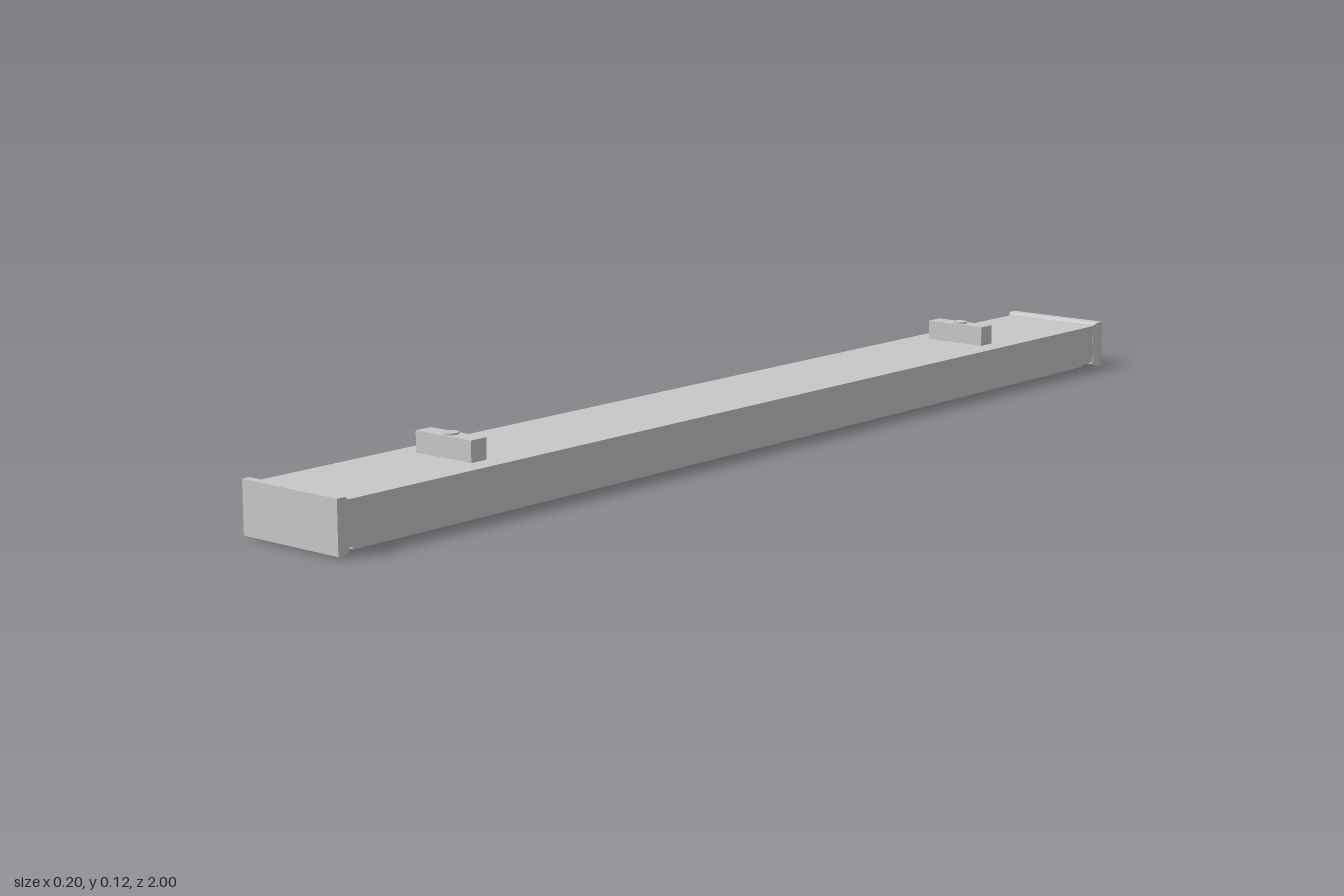
import * as THREE from 'three';

export function createModel() {
  const model = new THREE.Group();
  const grey = new THREE.MeshStandardMaterial({ color: 0xc8c8c8 });
  grey.name = 'light grey';

  const add = (name, geometry, x, y, z) => {
    const mesh = new THREE.Mesh(geometry, grey);
    mesh.name = name;
    mesh.position.set(x, y, z);
    model.add(mesh);
    return mesh;
  };
  // Box given by its width, bottom, top, depth and centre z
  const slab = (name, w, y0, y1, d, z = 0) =>
    add(name, new THREE.BoxGeometry(w, y1 - y0, d), 0, (y0 + y1) / 2, z);

  // Long housing with a stepped diffuser underneath
  slab('housing', 0.196, 0.012, 0.083, 1.97);
  slab('diffuserFrame', 0.172, 0.004, 0.012, 1.915);
  slab('diffuser', 0.152, 0, 0.004, 1.89);

  for (const side of [1, -1]) {
    const end = side > 0 ? 'front' : 'back';

    // End cap: flat plate plus a collar tapering onto the housing
    slab(end + 'EndCap', 0.205, 0.003, 0.089, 0.015, side * 0.9925);
    const collar = new THREE.BoxGeometry(0.205, 0.086, 0.01);
    const p = collar.attributes.position;
    for (let i = 0; i < p.count; i++) {
      if (p.getZ(i) * side < 0) {
        p.setX(i, p.getX(i) * 0.96);
        p.setY(i, p.getY(i) * 0.88);
      }
    }
    collar.computeVertexNormals();
    add(end + 'EndCapCollar', collar, 0, 0.046, side * 0.98);

    // Mounting block with a screw head on top
    slab(end + 'MountBlock', 0.12, 0.083, 0.118, 0.033, side * 0.67);
    add(end + 'MountScrew', new THREE.CylinderGeometry(0.013, 0.013, 0.006, 24), 0, 0.118, side * 0.67);
  }
  return model;
}
